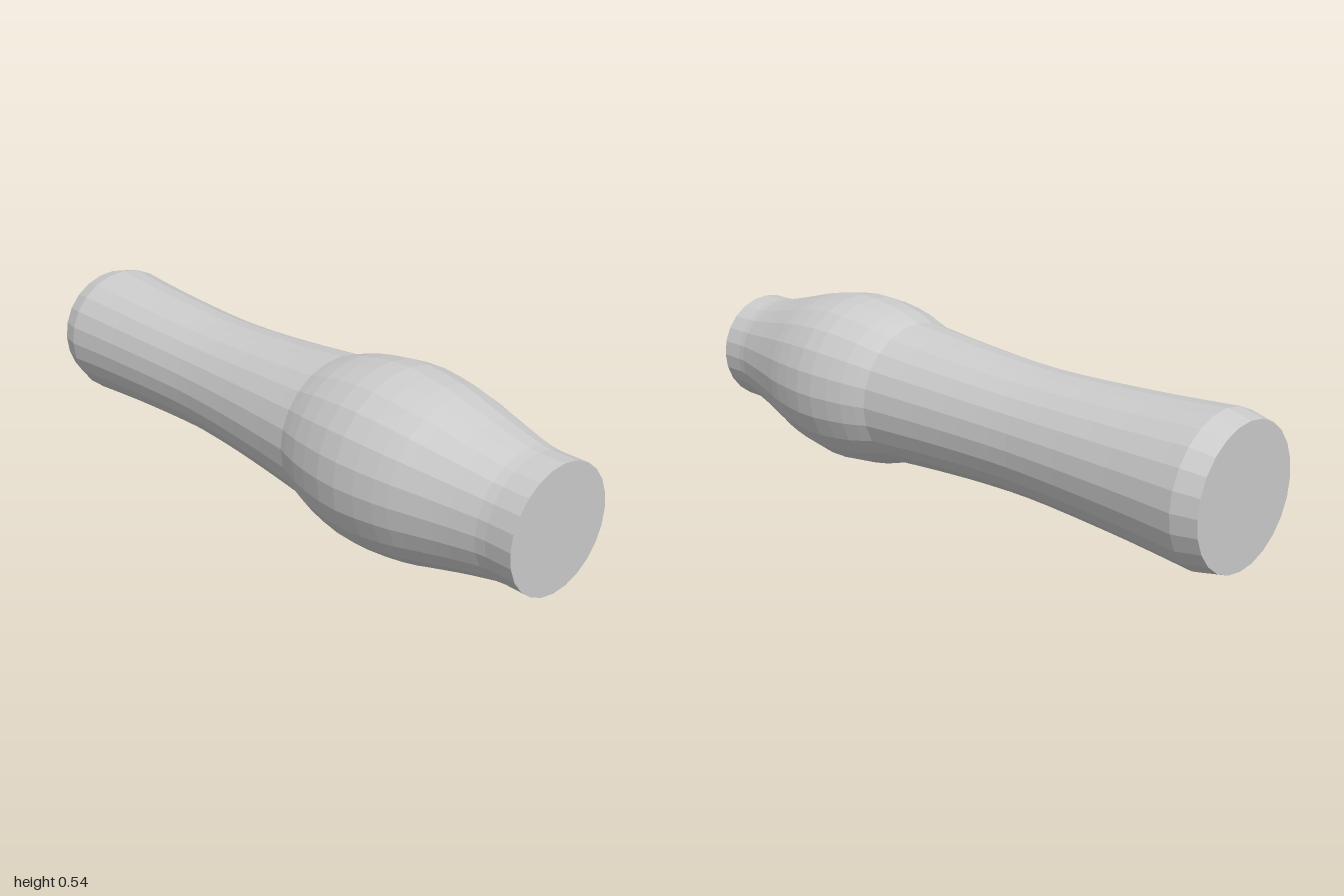
import * as THREE from 'three';

const SIDES = 24;
const AXIS_HEIGHT = 0.272;

// Smooth curve through [radius, z] points, sampled into a profile
function smooth(points, samples) {
  const curve = new THREE.SplineCurve(points.map(([r, z]) => new THREE.Vector2(r, z)));
  return curve.getPoints(samples);
}

// Turned part whose axis runs along z; profile goes from back to front
function turned(name, profile) {
  const geometry = new THREE.LatheGeometry(profile, SIDES);
  geometry.rotateX(Math.PI / 2);
  const material = new THREE.MeshStandardMaterial({
    color: 0xcccccc, flatShading: true, side: THREE.DoubleSide,
  });
  const mesh = new THREE.Mesh(geometry, material);
  mesh.name = name;
  mesh.position.y = AXIS_HEIGHT;
  return mesh;
}

export function createModel() {
  const group = new THREE.Group();
  group.name = 'turnedHandle';

  // Bevelled butt with its flat back face
  group.add(turned('bevelledButt', [
    new THREE.Vector2(0, -1), new THREE.Vector2(0.2, -1), new THREE.Vector2(0.216, -0.93),
  ]));

  // Waisted grip
  group.add(turned('waistedGrip', smooth([
    [0.216, -0.93], [0.2, -0.7], [0.188, -0.4], [0.192, -0.2], [0.205, 0], [0.223, 0.2],
  ], 16)));

  // Swollen bulge that narrows to the neck, meeting the grip in a crease
  group.add(turned('bulge', smooth([
    [0.223, 0.2], [0.253, 0.3], [0.271, 0.45], [0.254, 0.6], [0.229, 0.7], [0.203, 0.8], [0.183, 0.89],
  ], 14)));

  // Straight neck with its flat front face
  group.add(turned('neck', [
    new THREE.Vector2(0.183, 0.89), new THREE.Vector2(0.18, 0.92),
    new THREE.Vector2(0.18, 1), new THREE.Vector2(0, 1),
  ]));

  return group;
}
